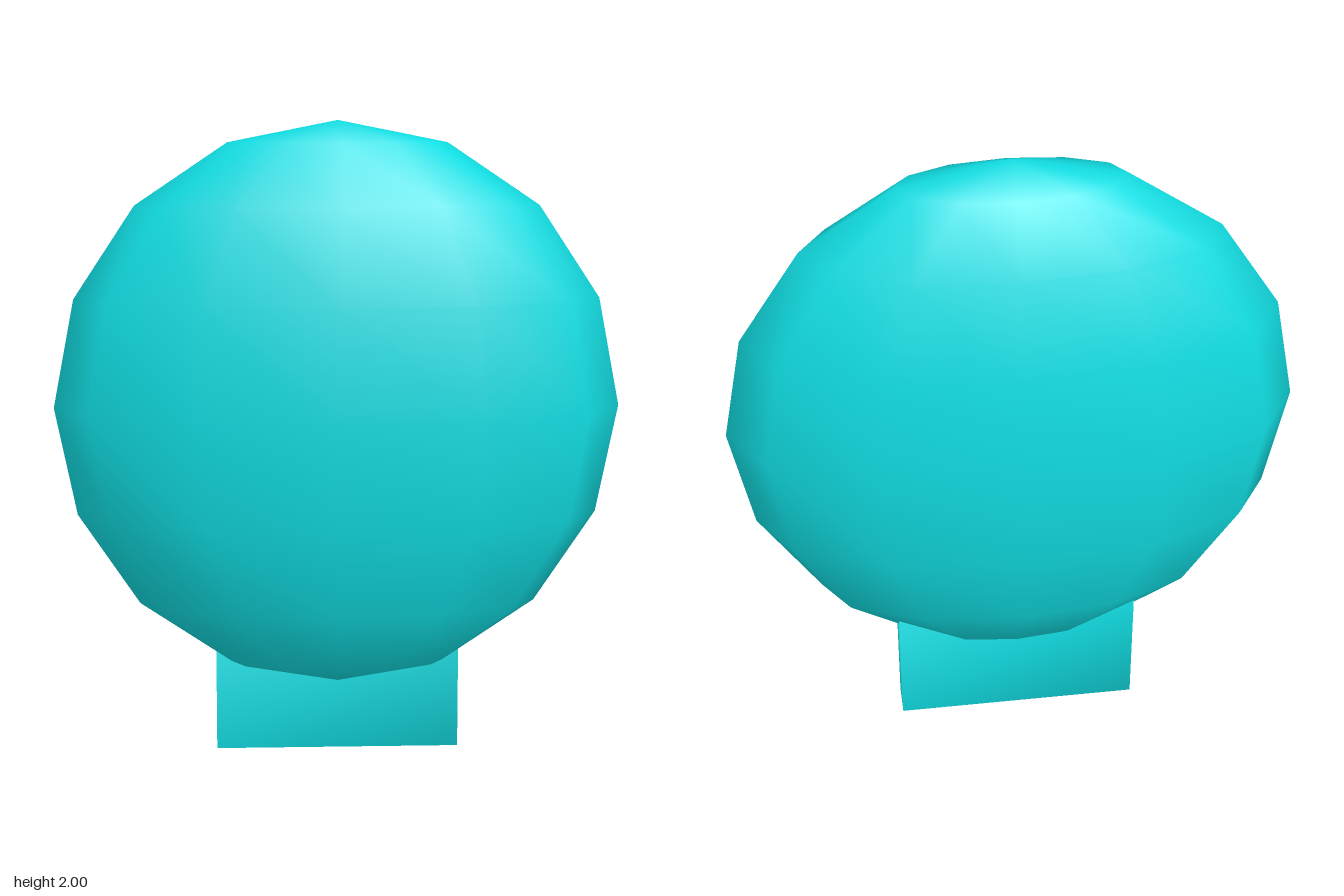
import * as THREE from 'three';
import { mergeVertices } from 'three/addons/utils/BufferGeometryUtils.js';

// Share the corners so the shading runs smoothly over every edge
function smooth(geometry) {
  geometry.deleteAttribute('normal');
  geometry.deleteAttribute('uv');
  const merged = mergeVertices(geometry, 1e-4);
  merged.computeVertexNormals();
  return merged;
}

export function createModel() {
  const group = new THREE.Group();
  const teal = new THREE.MeshStandardMaterial({ color: 0x10dce1 });
  teal.name = 'teal';

  function add(name, geometry, x, y, z) {
    const mesh = new THREE.Mesh(geometry, teal);
    mesh.name = name;
    mesh.position.set(x, y, z);
    group.add(mesh);
  }

  // Flattened low-poly ball with its poles at top and bottom
  const body = new THREE.SphereGeometry(1, 12, 8).scale(0.886, 0.887, 0.354);
  add('body', smooth(body), 0, 1.113, -0.001);

  // Flat foot, set slightly behind the middle and sunk into the body
  const foot = new THREE.BoxGeometry(0.776, 0.42, 0.108);
  add('foot', smooth(foot), 0, 0.21, -0.066);

  return group;
}
